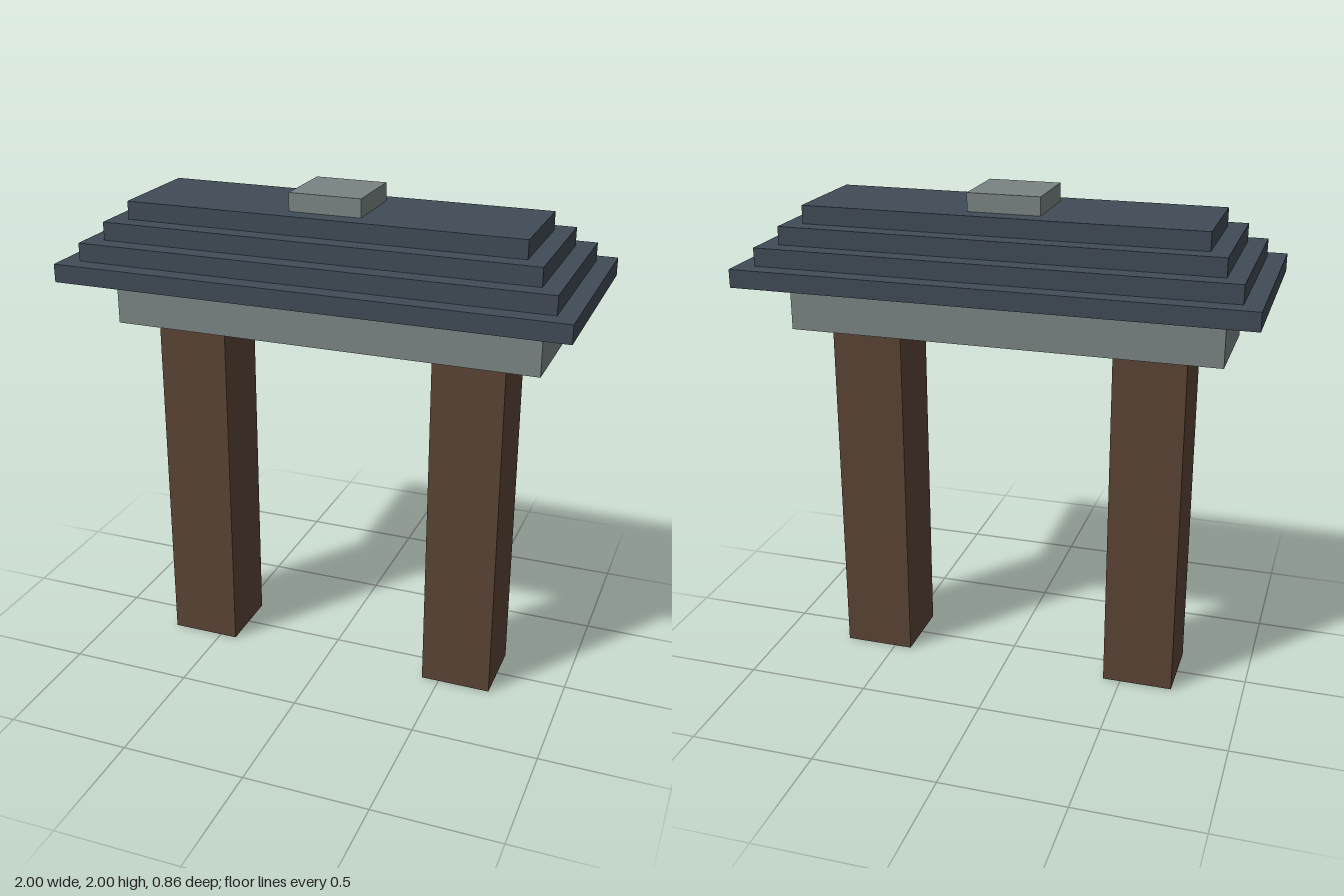
import * as THREE from 'three';

const U = 1 / 14; // building module: the gate is 28 modules wide and tall

export function createModel() {
  const gate = new THREE.Group();
  gate.name = 'gate';

  const wood = new THREE.MeshStandardMaterial({ color: 0x5c4436 });
  const stone = new THREE.MeshStandardMaterial({ color: 0x7a8484 });
  const slate = new THREE.MeshStandardMaterial({ color: 0x404b56 });

  // Box sized in modules, standing on height y
  function block(name, material, width, height, depth, x, y) {
    const geometry = new THREE.BoxGeometry(width * U, height * U, depth * U);
    const mesh = new THREE.Mesh(geometry, material);
    mesh.name = name;
    mesh.position.set(x * U, (y + height / 2) * U, 0);
    gate.add(mesh);
  }

  // Pillars
  block('leftPillar', wood, 4, 20, 4, 8, 0);
  block('rightPillar', wood, 4, 20, 4, -8, 0);

  // Lintel resting on the pillars
  block('lintel', stone, 24, 3, 6, 0, 20);

  // Stepped roof, each tier one module smaller on every side
  for (let i = 0; i < 4; i++) {
    block(`roofTier${i + 1}`, slate, 28 - 2 * i, 1, 12 - 2 * i, 0, 23 + i);
  }

  // Capstone
  block('capstone', stone, 4, 1, 4, 0, 27);

  return gate;
}
